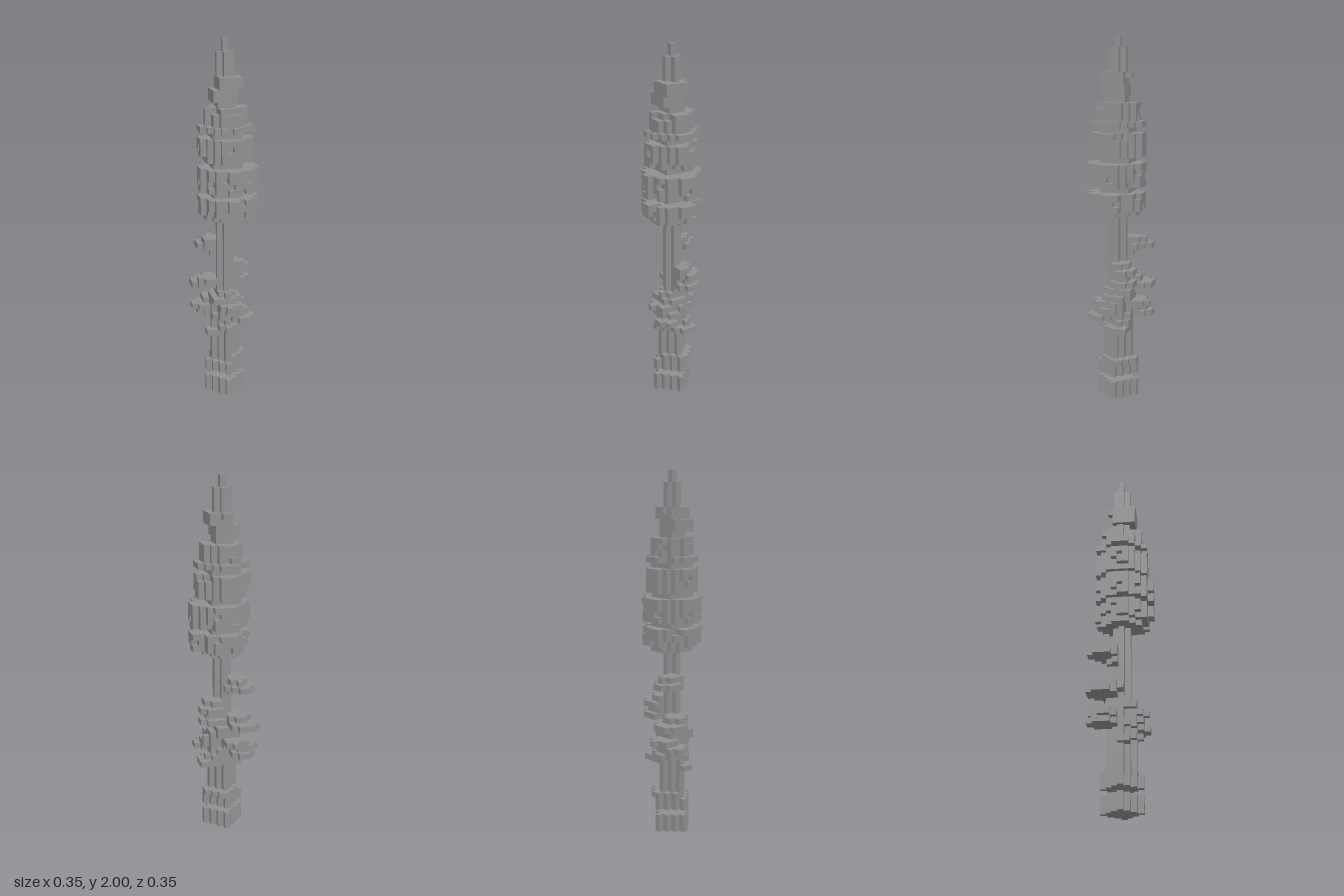
import * as THREE from 'three';

const U = 2 / 62; // edge of one cube; the tree is 62 cubes tall

// Each slab: [first layer, last layer, centre x, centre z, radius, raggedness]
const TRUNK = [
  [0, 2, 0, 0, 3, 0], [4, 5, 0, 0, 3, 0], [6, 6, 0.5, -0.5, 3, 0],
  [7, 17, 0, 0, 2, 0], [18, 59, 0, 0, 1, 0], [60, 61, 0, 0, 0, 0],
];
const BRANCHES = [
  [11, 11, -2, 0.5, 1.2, 0],
  [12, 12, 2.4, -0.8, 2, 0], [12, 12, 0, 2, 1.2, 0], [13, 13, 1.2, -0.8, 1.9, 0],
  [14, 14, 2.2, 2.2, 2.1, 0], [14, 14, -2.4, -3, 2.3, 0], [14, 14, 0, 0, 2.3, 0],
  [15, 15, -3, -2.4, 2.2, 0], [15, 15, 0.8, 0.8, 2.7, 0],
  [16, 16, 0.3, 2, 2.1, 0], [16, 16, -1.3, -2.9, 2.2, 0], [16, 16, 1.2, 0, 2, 0],
  [17, 17, -0.3, 0, 2.7, 0.2], [18, 18, 0, -1, 1.5, 0], [18, 18, 0, 1, 1.2, 0],
  [19, 19, -3, -3, 2.3, 0], [20, 20, -2.5, -1.7, 1.8, 0],
  [20, 20, 2.3, -1.4, 2.2, 0], [21, 21, 1.8, -1.2, 1.6, 0],
  [22, 22, 2.3, -1.4, 2.1, 0], [23, 23, 1.8, -0.8, 1.6, 0],
  [25, 25, -1, -1, 1.2, 0], [26, 26, -2.4, -3, 2.4, 0], [27, 27, -1.8, -2.3, 1.8, 0],
];
const CROWN = [
  [32, 32, -0.3, 0, 3.3, 0],
  [33, 33, 0.5, 0.4, 4.75, 0.25], [34, 35, 0.5, 0.4, 4.75, 0.08], [36, 36, 0, 0, 2.9, 0],
  [37, 37, 0.5, 0.4, 4.75, 0.25], [38, 40, 0.5, 0.4, 4.75, 0.08], [41, 41, 0, 0, 2.9, 0],
  [42, 42, 0, 0, 4.2, 0.25], [43, 45, 0, 0, 4.2, 0.1], [46, 46, 0, 0, 2.9, 0],
  [47, 47, 0, 0, 4.2, 0.25], [48, 50, 0.2, 0, 3.3, 0.15], [51, 51, 0, 0, 1.5, 0],
  [52, 53, -0.5, 0.5, 2.13, 0], [54, 55, 0.5, 0.5, 2.13, 0], [55, 55, 0, -1.5, 0.6, 0],
];

// Trunk slabs are diamonds, foliage slabs are discs
const diamond = (dx, dz) => Math.abs(dx) + Math.abs(dz);
const disc = (dx, dz) => Math.hypot(dx, dz);

const key = (x, y, z) => `${x},${y},${z}`;

// Repeatable value from 0 to 1 for a cube position
function hash(x, y, z) {
  const s = Math.sin(x * 12.99 + y * 78.23 + z * 37.72) * 43758.5453;
  return s - Math.floor(s);
}

// Fill a part with cubes, leaving out cubes that another part already owns
function fill(slabs, distance, taken) {
  const cells = [];
  for (const [y0, y1, cx, cz, r, ragged] of slabs)
    for (let y = y0; y <= y1; y++)
      for (let x = -5; x <= 5; x++)
        for (let z = -5; z <= 5; z++) {
          const d = distance(x - cx, z - cz);
          if (d > r || taken.has(key(x, y, z))) continue;
          if (d > r - 0.9 && hash(x, y, z) < ragged) continue;
          taken.add(key(x, y, z));
          cells.push([x, y, z]);
        }
  return cells;
}

// Only the exposed sides of the cubes become faces
function cubeSurface(cells, taken) {
  const pos = [], norm = [], index = [];
  for (const c of cells)
    for (let axis = 0; axis < 3; axis++)
      for (const s of [-1, 1]) {
        const n = [0, 0, 0];
        n[axis] = s;
        if (taken.has(key(c[0] + n[0], c[1] + n[1], c[2] + n[2]))) continue;
        const base = pos.length / 3;
        for (const [a, b] of [[-1, -1], [1, -1], [1, 1], [-1, 1]]) {
          const p = [c[0], c[1] + 0.5, c[2]];
          p[axis] += s / 2;
          p[(axis + 1) % 3] += (a * s) / 2;
          p[(axis + 2) % 3] += b / 2;
          pos.push(p[0] * U, p[1] * U, p[2] * U);
          norm.push(...n);
        }
        index.push(base, base + 1, base + 2, base, base + 2, base + 3);
      }
  const g = new THREE.BufferGeometry();
  g.setAttribute('position', new THREE.Float32BufferAttribute(pos, 3));
  g.setAttribute('normal', new THREE.Float32BufferAttribute(norm, 3));
  g.setIndex(index);
  return g;
}

export function createModel() {
  const group = new THREE.Group();
  group.name = 'blockTree';
  const grey = new THREE.MeshStandardMaterial({ color: 0x909090 });
  grey.name = 'grey';
  const taken = new Set();
  const parts = [['trunk', TRUNK, diamond], ['branches', BRANCHES, disc], ['crown', CROWN, disc]]
    .map(([name, slabs, distance]) => [name, fill(slabs, distance, taken)]);
  for (const [name, cells] of parts) {
    const mesh = new THREE.Mesh(cubeSurface(cells, taken), grey);
    mesh.name = name;
    group.add(mesh);
  }
  return group;
}
